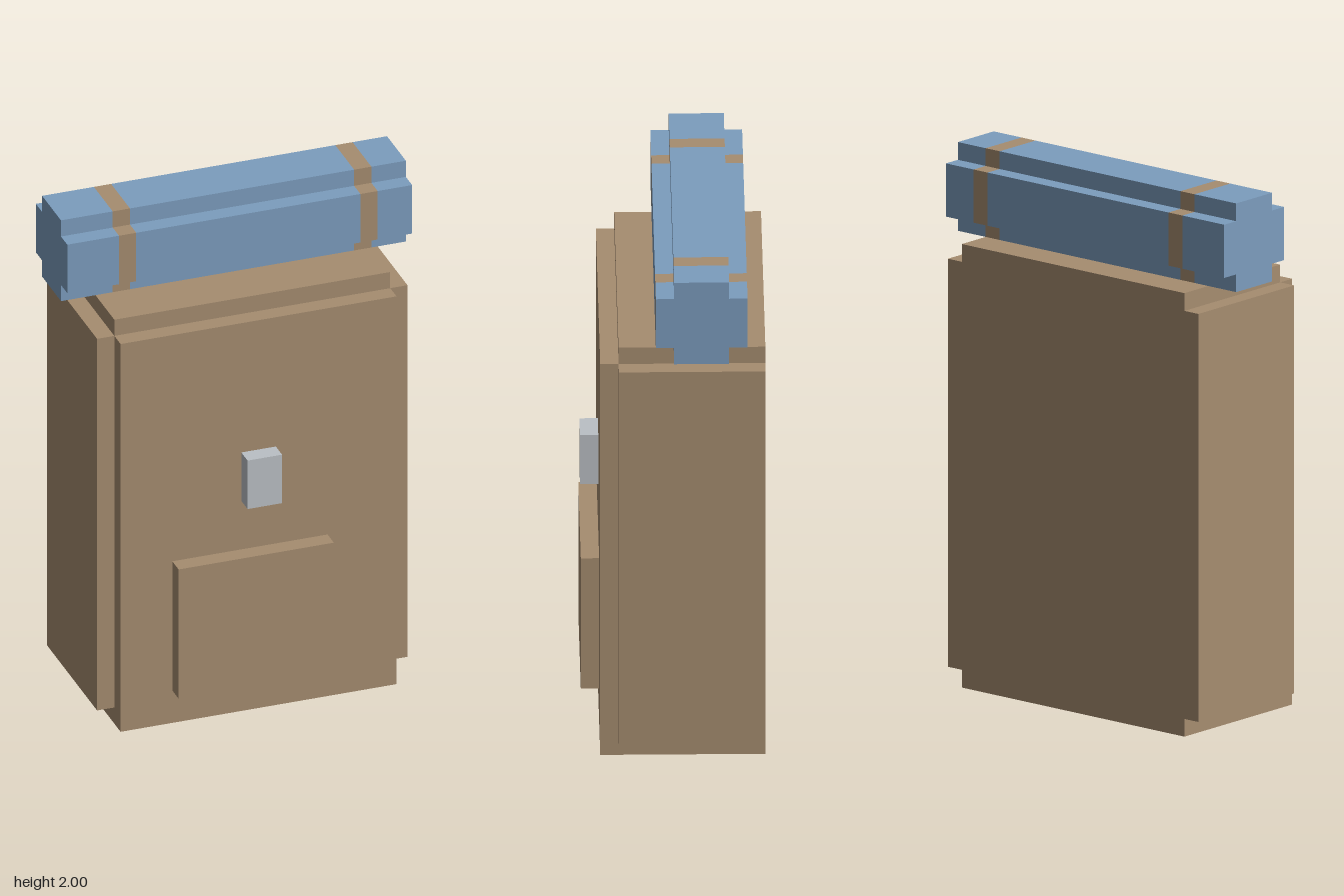
import * as THREE from 'three';

// Everything sits on a grid of 15 cells per unit
const U = 1 / 15;

export function createModel() {
  const model = new THREE.Group();
  model.name = 'backpack';

  const canvas = new THREE.MeshStandardMaterial({ name: 'brown canvas', color: 0xa68d70 });
  const blanket = new THREE.MeshStandardMaterial({ name: 'blue blanket', color: 0x7c9dbe });
  const metal = new THREE.MeshStandardMaterial({ name: 'grey metal', color: 0xbbc0c5 });

  // Box given by its grid extents on each axis
  function block(name, material, [x0, x1], [y0, y1], [z0, z1]) {
    const mesh = new THREE.Mesh(
      new THREE.BoxGeometry((x1 - x0) * U, (y1 - y0) * U, (z1 - z0) * U), material);
    mesh.position.set((x0 + x1) / 2 * U, (y0 + y1) / 2 * U, (z0 + z1) / 2 * U);
    mesh.name = name;
    model.add(mesh);
  }

  // Bag
  block('bagBody', canvas, [-8, 8], [0, 25], [-5, 3]);
  block('frontPanel', canvas, [-8, 8], [0, 24], [3, 4]);
  block('leftSidePanel', canvas, [8, 9], [1, 24], [-5, 3]);
  block('rightSidePanel', canvas, [-9, -8], [1, 24], [-5, 3]);
  block('frontPocket', canvas, [-5, 4], [2, 10], [4, 5]);
  block('buckle', metal, [-1, 1], [13, 16], [4, 5]);

  // Bedroll cross-section: a square with notched corners
  const profile = new THREE.Shape([
    [-1.5, -2.5], [1.5, -2.5], [1.5, -1.5], [2.5, -1.5], [2.5, 1.5], [1.5, 1.5],
    [1.5, 2.5], [-1.5, 2.5], [-1.5, 1.5], [-2.5, 1.5], [-2.5, -1.5], [-1.5, -1.5],
  ].map(([x, y]) => new THREE.Vector2(x * U, y * U)));

  // Bedroll cut into lengths, with the two straps flush between them
  const bedroll = new THREE.Group();
  bedroll.name = 'bedroll';
  bedroll.position.set(0, 27.5 * U, -1.5 * U);
  model.add(bedroll);
  const cuts = [-10, -7, -6, 7, 8, 10];
  for (let i = 0; i < cuts.length - 1; i++) {
    const geometry = new THREE.ExtrudeGeometry(profile, {
      depth: (cuts[i + 1] - cuts[i]) * U, bevelEnabled: false,
    });
    geometry.rotateY(Math.PI / 2);
    const isStrap = i % 2 === 1;
    const mesh = new THREE.Mesh(geometry, isStrap ? canvas : blanket);
    mesh.position.x = cuts[i] * U;
    mesh.name = isStrap ? 'bedrollStrap' : 'bedrollSection';
    bedroll.add(mesh);
  }

  return model;
}
